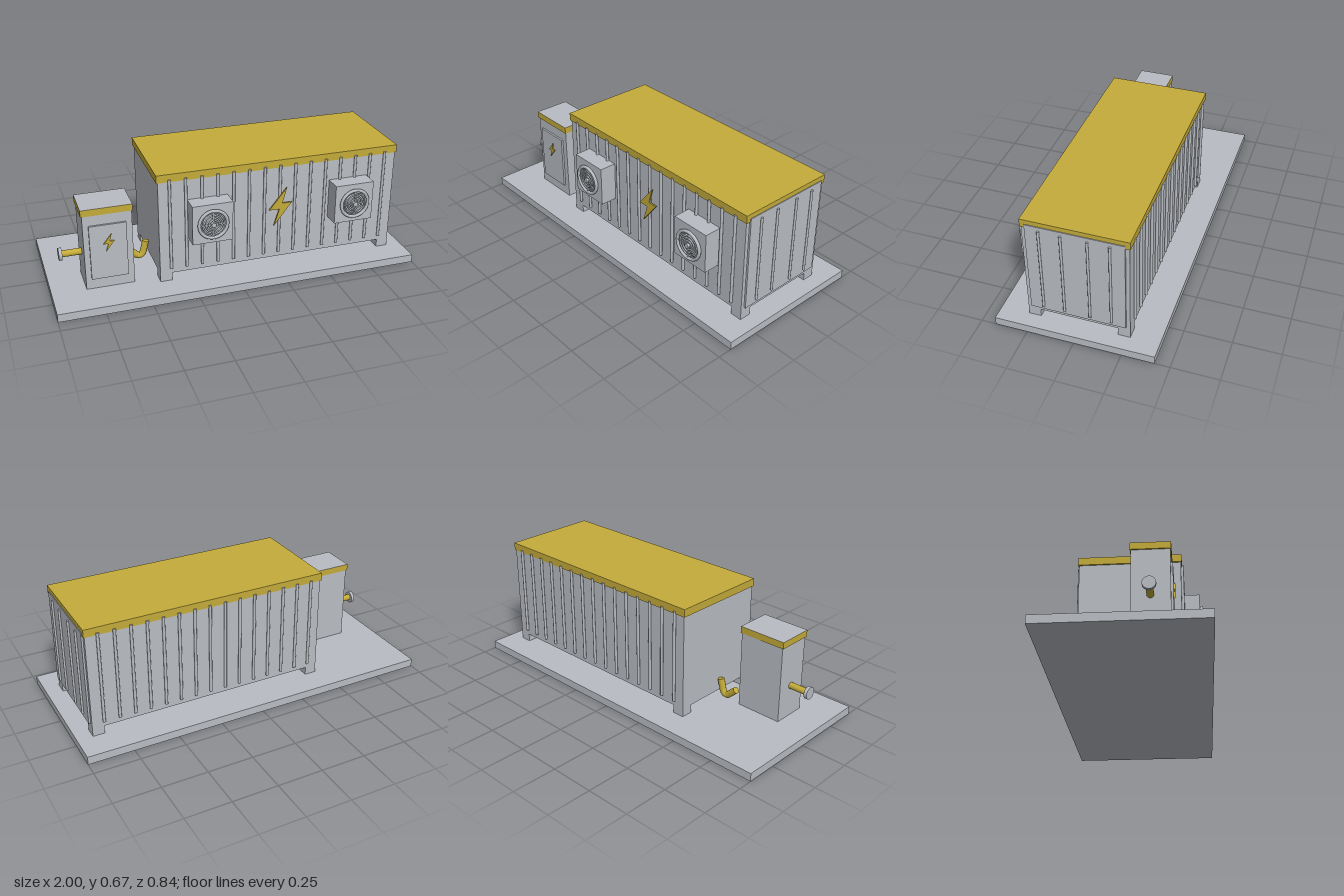
import * as THREE from 'three';

const grey = new THREE.MeshStandardMaterial({ color: 0xb9bdc3 });
grey.name = 'paintedSteelGrey';
const yellow = new THREE.MeshStandardMaterial({ color: 0xc4ab3a });
yellow.name = 'safetyYellow';

function add(parent, name, geometry, material, x = 0, y = 0, z = 0) {
  const mesh = new THREE.Mesh(geometry, material);
  mesh.name = name;
  mesh.position.set(x, y, z);
  parent.add(mesh);
  return mesh;
}

// Box given by its minimum and maximum on each axis
function box(parent, name, material, [x0, x1], [y0, y1], [z0, z1]) {
  return add(parent, name, new THREE.BoxGeometry(x1 - x0, y1 - y0, z1 - z0), material,
    (x0 + x1) / 2, (y0 + y1) / 2, (z0 + z1) / 2);
}

function rib(parent, name, radius, x, y0, y1, z) {
  add(parent, name, new THREE.CylinderGeometry(radius, radius, y1 - y0, 10), grey, x, (y0 + y1) / 2, z);
}

// Lightning sign, centred, about one unit high
function bolt(parent, name, height, x, y, z) {
  const points = [[0.16, 0.5], [-0.29, -0.06], [-0.02, -0.06], [-0.16, -0.5], [0.3, 0.09], [0.05, 0.09]];
  const shape = new THREE.Shape(points.map(([px, py]) => new THREE.Vector2(px * height, py * height)));
  add(parent, name, new THREE.ExtrudeGeometry(shape, { depth: 0.008, bevelEnabled: false }), yellow, x, y, z);
}

function fanUnit(x) {
  const fan = new THREE.Group();
  fan.name = 'fanUnit';
  fan.position.set(x, 0.4, 0);
  box(fan, 'fanHousing', grey, [-0.11, 0.11], [-0.11, 0.11], [0.265, 0.364]);
  // Guard rings, spokes and hub
  add(fan, 'guardRim', new THREE.TorusGeometry(0.077, 0.009, 8, 32), grey, 0, 0, 0.374);
  for (const r of [0.058, 0.041, 0.024]) {
    add(fan, 'guardRing', new THREE.TorusGeometry(r, 0.005, 6, 28), grey, 0, 0, 0.374);
  }
  for (let i = 0; i < 2; i++) {
    const spoke = add(fan, 'guardSpoke', new THREE.BoxGeometry(0.15, 0.007, 0.007), grey, 0, 0, 0.374);
    spoke.rotation.z = i * Math.PI / 2;
  }
  const hub = add(fan, 'fanHub', new THREE.CylinderGeometry(0.013, 0.013, 0.023, 16), grey, 0, 0, 0.3755);
  hub.rotation.x = Math.PI / 2;
  return fan;
}

function container() {
  const group = new THREE.Group();
  group.name = 'container';
  box(group, 'containerBody', grey, [-0.425, 0.915], [0.09, 0.64], [-0.27, 0.27]);
  box(group, 'containerRoof', yellow, [-0.433, 0.921], [0.625, 0.668], [-0.275, 0.275]);
  // Corner feet
  for (const x of [-0.425, 0.85]) {
    for (const z of [-0.27, 0.205]) {
      box(group, 'containerFoot', grey, [x, x + 0.065], [0.045, 0.09], [z, z + 0.065]);
    }
  }
  // Long wall ribs, front and back
  for (let i = 0; i < 15; i++) {
    for (const side of [-1, 1]) rib(group, 'wallRib', 0.008, -0.365 + i * 0.0868, 0.12, 0.638, side * 0.276);
  }
  // End doors with their ribs
  box(group, 'endPanel', grey, [0.91, 0.925], [0.113, 0.643], [-0.25, 0.25]);
  for (const z of [-0.177, -0.066, 0.068, 0.179]) rib(group, 'endRib', 0.0065, 0.929, 0.135, 0.622, z);
  bolt(group, 'warningSign', 0.218, 0.242, 0.401, 0.283);
  group.add(fanUnit(-0.16), fanUnit(0.64));
  return group;
}

function cabinet() {
  const group = new THREE.Group();
  group.name = 'controlCabinet';
  box(group, 'cabinetBody', grey, [-0.815, -0.555], [0.045, 0.48], [0.035, 0.226]);
  // Yellow band whose upper face is grey
  box(group, 'cabinetCap', [yellow, yellow, grey, yellow, yellow, yellow],
    [-0.822, -0.55], [0.473, 0.51], [0.03, 0.231]);
  box(group, 'cabinetDoor', grey, [-0.785, -0.588], [0.105, 0.415], [0.22, 0.237]);
  bolt(group, 'doorSign', 0.098, -0.685, 0.313, 0.236);
  // Side outlet with flange
  const outlet = add(group, 'outletPipe', new THREE.CylinderGeometry(0.018, 0.018, 0.115, 16), yellow, -0.865, 0.225, 0.128);
  const flange = add(group, 'outletFlange', new THREE.CylinderGeometry(0.034, 0.034, 0.018, 16), grey, -0.928, 0.225, 0.128);
  outlet.rotation.z = flange.rotation.z = Math.PI / 2;
  return group;
}

// Bent pipe between cabinet and container
function connectingPipe(parent) {
  const v = (x, y, z) => new THREE.Vector3(x, y, z);
  const path = new THREE.CurvePath();
  const a = v(-0.545, 0.133, 0.019), b = v(-0.505, 0.096, 0.018);
  const c = v(-0.458, 0.105, 0.016), d = v(-0.443, 0.168, 0.015);
  path.add(new THREE.LineCurve3(a, b));
  path.add(new THREE.QuadraticBezierCurve3(b, v(-0.474, 0.066, 0.017), c));
  path.add(new THREE.LineCurve3(c, d));
  add(parent, 'connectingPipe', new THREE.TubeGeometry(path, 16, 0.019, 10, false), yellow);
  // Closed ends
  [[a, a.clone().sub(b)], [d, d.clone().sub(c)]].forEach(([end, dir]) => {
    const cap = add(parent, 'pipeEnd', new THREE.CircleGeometry(0.019, 10), yellow, end.x, end.y, end.z);
    cap.quaternion.setFromUnitVectors(v(0, 0, 1), dir.normalize());
  });
}

export function createModel() {
  const model = new THREE.Group();
  model.name = 'powerStation';
  box(model, 'baseSlab', grey, [-1, 1], [0, 0.045], [-0.422, 0.422]);
  model.add(container(), cabinet());
  connectingPipe(model);
  return model;
}
